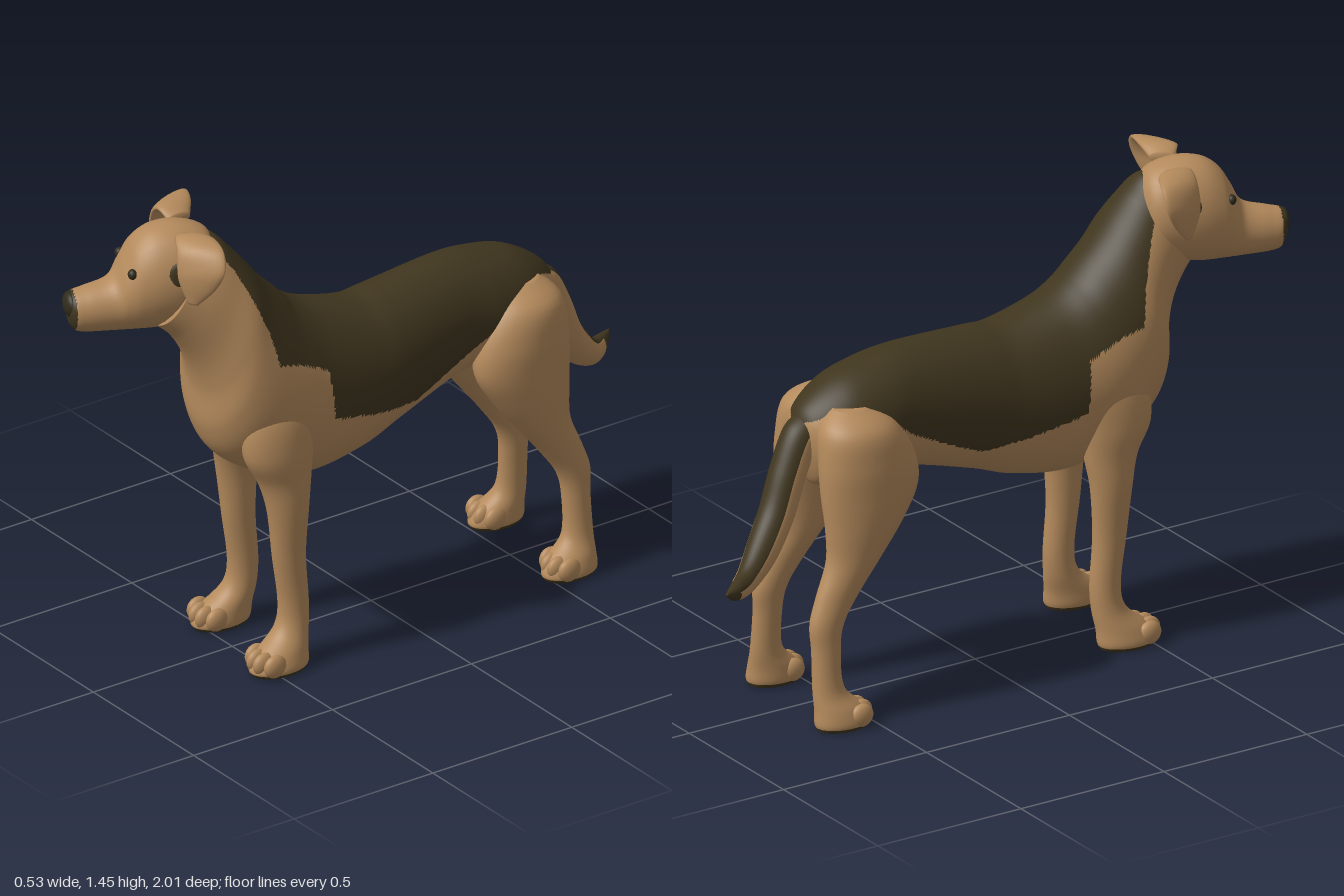
import * as THREE from 'three';

const tan = new THREE.MeshStandardMaterial({ color: 0xb48a5c });
tan.name = 'tan coat';
const dark = new THREE.MeshStandardMaterial({ color: 0x40361f });
dark.name = 'dark saddle';
const black = new THREE.MeshStandardMaterial({ color: 0x302c1c });
black.name = 'nose and eyes';

// Catmull-Rom through rows of numbers
function smoothRows(rows, steps) {
  const out = [];
  const at = (i) => rows[Math.max(0, Math.min(rows.length - 1, i))];
  for (let i = 0; i < rows.length - 1; i++) {
    for (let s = 0; s < steps; s++) {
      const t = s / steps;
      out.push(rows[i].map((b, k) => {
        const a = at(i - 1)[k], c = at(i + 1)[k], d = at(i + 2)[k];
        return b + 0.5 * t * (c - a + t * (2 * a - 5 * b + 4 * c - d + t * (3 * (b - c) + d - a)));
      }));
    }
  }
  out.push(rows[rows.length - 1]);
  return out;
}

// Closed skin over rings [centre xyz, u xyz, v xyz]; isDark(point, angle) picks the second colour
function loft(name, rows, { steps = 6, sides = 32, isDark = () => false } = {}) {
  const rings = smoothRows(rows, steps);
  const vec = (r, k) => new THREE.Vector3(r[k], r[k + 1], r[k + 2]);
  const pts = [];
  for (const r of rings) {
    for (let j = 0; j < sides; j++) {
      const a = (j / sides) * Math.PI * 2;
      pts.push(vec(r, 0).addScaledVector(vec(r, 3), Math.cos(a)).addScaledVector(vec(r, 6), Math.sin(a)));
    }
  }
  const first = pts.push(vec(rings[0], 0)) - 1;
  const last = pts.push(vec(rings[rings.length - 1], 0)) - 1;
  const m = Math.floor(rings.length / 2);
  const along = vec(rings[m + 1], 0).sub(vec(rings[m - 1], 0));
  const flip = vec(rings[m], 3).cross(vec(rings[m], 6)).dot(along) < 0;
  const lists = [[], []];
  const tri = (a, b, c, angle) => {
    const mid = pts[a].clone().add(pts[b]).add(pts[c]).divideScalar(3);
    lists[isDark(mid, angle) ? 1 : 0].push(...(flip ? [a, c, b] : [a, b, c]));
  };
  for (let j = 0; j < sides; j++) {
    const k = (j + 1) % sides, angle = ((j + 0.5) / sides) * Math.PI * 2;
    for (let i = 0; i < rings.length - 1; i++) {
      const a = i * sides + j, b = i * sides + k;
      tri(a, b, a + sides, angle);
      tri(b, b + sides, a + sides, angle);
    }
    const e = (rings.length - 1) * sides;
    tri(first, k, j, angle);
    tri(last, e + j, e + k, angle);
  }
  const g = new THREE.BufferGeometry().setFromPoints(pts);
  g.setIndex([...lists[0], ...lists[1]]);
  g.addGroup(0, lists[0].length, 0);
  g.addGroup(lists[0].length, lists[1].length, 1);
  g.computeVertexNormals();
  const mesh = new THREE.Mesh(g, [tan, dark]);
  mesh.name = name;
  return mesh;
}

// Ring from its top and bottom points in profile: [zTop, yTop, zBottom, yBottom, x, halfWidth]
const profileRing = ([zt, yt, zb, yb, x, w]) =>
  [x, (yt + yb) / 2, (zt + zb) / 2, w, 0, 0, 0, (yt - yb) / 2, (zt - zb) / 2];

// Lower edge of the dark saddle as [z, y]
const edge = [[-0.7, 0.78], [-0.62, 0.91], [-0.55, 0.945], [-0.45, 0.94], [-0.3, 0.83], [-0.15, 0.755],
  [-0.05, 0.71], [0.1, 0.73], [0.285, 0.77], [0.3, 0.93], [0.4, 0.98], [0.48, 1.0], [0.5, 1.1],
  [0.55, 1.24], [0.58, 1.31], [0.63, 1.38], [0.68, 1.5]];
function inSaddle(p) {
  for (let i = 0; i < edge.length - 1; i++) {
    const [z0, y0] = edge[i], [z1, y1] = edge[i + 1];
    if (p.z >= z0 && p.z < z1) return p.y > y0 + ((y1 - y0) * (p.z - z0)) / (z1 - z0);
  }
  return false;
}

function ball(name, material, x, y, z, rx, ry, rz) {
  const mesh = new THREE.Mesh(new THREE.SphereGeometry(1, 20, 14), material);
  mesh.name = name;
  mesh.position.set(x, y, z);
  mesh.scale.set(rx, ry, rz);
  return mesh;
}

// Leg from rows [x, y, z, rx, rz], with dark sole and four toes; side is +1 left, -1 right
function leg(name, side, rows, dx, dz, toeZ) {
  const group = new THREE.Group();
  group.name = name;
  group.add(loft(name + 'Limb', rows.map(([x, y, z, rx, rz]) =>
    [side * x + dx, y, z + dz, rx, 0, 0, 0, 0, rz]),
  { sides: 36, isDark: (p) => p.y < 0.012 }));
  const px = side * rows[rows.length - 1][0] + dx;
  for (let i = 0; i < 4; i++) {
    const o = i - 1.5;
    group.add(ball('toe', tan, px + o * 0.032, 0.04, toeZ + dz - Math.abs(o) * 0.017, 0.021, 0.036, 0.038));
  }
  return group;
}

const foreLeg = [[0.11, 0.92, 0.42, 0.04, 0.06], [0.14, 0.82, 0.44, 0.07, 0.115], [0.155, 0.7, 0.45, 0.075, 0.115],
  [0.16, 0.6, 0.43, 0.064, 0.085], [0.17, 0.5, 0.425, 0.053, 0.066], [0.168, 0.35, 0.42, 0.044, 0.053],
  [0.168, 0.2, 0.405, 0.042, 0.048], [0.172, 0.12, 0.415, 0.047, 0.054], [0.182, 0.06, 0.455, 0.06, 0.085],
  [0.187, 0.02, 0.47, 0.066, 0.098], [0.187, 0, 0.47, 0.058, 0.09]];
const rearLeg = [[0.08, 0.955, -0.48, 0.05, 0.06], [0.11, 0.9, -0.475, 0.1, 0.12], [0.13, 0.8, -0.455, 0.1, 0.155],
  [0.14, 0.7, -0.45, 0.09, 0.16], [0.15, 0.6, -0.475, 0.075, 0.128], [0.155, 0.5, -0.515, 0.06, 0.09],
  [0.16, 0.4, -0.575, 0.046, 0.07], [0.165, 0.32, -0.615, 0.04, 0.056], [0.17, 0.24, -0.622, 0.037, 0.046],
  [0.18, 0.12, -0.62, 0.04, 0.05], [0.192, 0.06, -0.59, 0.056, 0.08], [0.197, 0.02, -0.58, 0.062, 0.092],
  [0.197, 0, -0.58, 0.055, 0.085]];

function makeHead() {
  const head = new THREE.Group();
  head.name = 'head';
  // Skull and muzzle
  head.add(loft('skull', [
    [-0.1, 1.34, -0.08, 1.22, 0, 0.05], [-0.06, 1.41, -0.04, 1.15, 0, 0.112], [0.02, 1.44, 0.03, 1.125, 0, 0.128],
    [0.1, 1.435, 0.09, 1.115, 0, 0.125], [0.155, 1.4, 0.15, 1.115, 0, 0.11], [0.19, 1.345, 0.19, 1.116, 0, 0.092],
    [0.225, 1.285, 0.23, 1.118, 0, 0.076], [0.3, 1.262, 0.3, 1.122, 0, 0.065], [0.345, 1.25, 0.335, 1.13, 0, 0.055],
    [0.36, 1.228, 0.35, 1.15, 0, 0.034]].map(profileRing), { steps: 8, isDark: (p) => p.z > 0.338 }));
  head.add(ball('nose', black, 0, 1.212, 0.347, 0.042, 0.038, 0.021));
  for (const s of [1, -1]) {
    head.add(ball('eye', black, s * 0.074, 1.322, 0.178, 0.016, 0.016, 0.014));
    head.add(ball('earHollow', dark, s * 0.117, 1.315, 0.045, 0.013, 0.05, 0.036));
    // Folded ear flap: arches outwards, then hangs with its front edge turned in
    head.add(loft('ear', [
      [0.06, 1.415, 0, -0.01, 0, 0.035, 0, 0.016, 0], [0.115, 1.435, 0, -0.02, 0, 0.055, 0, 0.014, 0],
      [0.175, 1.418, 0, -0.035, -0.01, 0.062, 0.01, 0.012, 0.004],
      [0.202, 1.37, 0.005, -0.045, -0.01, 0.06, 0.012, 0.004, 0.008],
      [0.198, 1.32, 0.015, -0.035, 0, 0.045, 0.011, 0, 0.008],
      [0.188, 1.26, 0.025, -0.01, 0, 0.012, 0.004, 0, 0.004],
    ].map((r) => r.map((v, k) => (k % 3 === 0 ? s * v : v))), { sides: 20 }));
  }
  head.position.set(-0.015, 0, 0.66);
  head.rotation.y = -0.36;
  return head;
}

export function createModel() {
  const dog = new THREE.Group();
  dog.name = 'dog';

  // Trunk and neck in one skin, from rump to throat
  dog.add(loft('trunk', [
    [-0.64, 0.87, -0.615, 0.77, 0, 0.03], [-0.605, 0.945, -0.58, 0.7, 0, 0.1], [-0.5, 1.015, -0.5, 0.68, 0, 0.15],
    [-0.38, 1.047, -0.38, 0.69, 0.005, 0.158], [-0.25, 1.06, -0.25, 0.68, 0.01, 0.152],
    [0, 1.045, -0.02, 0.61, 0.025, 0.172], [0.1, 1.042, 0.12, 0.56, 0.028, 0.182],
    [0.25, 1.08, 0.3, 0.535, 0.025, 0.195], [0.33, 1.12, 0.46, 0.585, 0.022, 0.204],
    [0.38, 1.165, 0.58, 0.67, 0.022, 0.2], [0.44, 1.225, 0.63, 0.77, 0.022, 0.188],
    [0.49, 1.285, 0.64, 0.9, 0.026, 0.165], [0.54, 1.345, 0.67, 1.0, 0.02, 0.14],
    [0.59, 1.395, 0.725, 1.09, 0.01, 0.12], [0.66, 1.41, 0.78, 1.14, -0.005, 0.1],
  ].map(profileRing), { steps: 16, sides: 140, isDark: inSaddle }));

  dog.add(makeHead());

  // Legs, the right pair set slightly back
  dog.add(leg('rightFrontLeg', -1, foreLeg, 0.04, -0.035, 0.543));
  dog.add(leg('leftFrontLeg', 1, foreLeg, 0.008, 0.003, 0.543));
  dog.add(leg('rightHindLeg', -1, rearLeg, 0, -0.012, -0.52));
  dog.add(leg('leftHindLeg', 1, rearLeg, 0, 0.008, -0.52));

  // Tail, [x, y, z, radius, slope angle of its upper side], swinging to the right
  dog.add(loft('tail', [
    [0, 0.9, -0.56, 0.05, 0.6], [-0.008, 0.86, -0.615, 0.056, 0.5], [-0.025, 0.76, -0.672, 0.056, 0.4],
    [-0.045, 0.65, -0.725, 0.055, 0.55], [-0.08, 0.56, -0.8, 0.051, 0.85], [-0.12, 0.503, -0.88, 0.04, 1.3],
    [-0.16, 0.495, -0.945, 0.028, 1.65], [-0.195, 0.507, -0.998, 0.004, 1.7],
  ].map(([x, y, z, r, a]) => [x, y, z, r, 0, 0, 0, r * Math.sin(a), -r * Math.cos(a)]),
  { steps: 8, isDark: (p, a) => p.z < -0.94 || Math.sin(a) - 0.4 * Math.cos(a) > 0.65 }));

  return dog;
}
